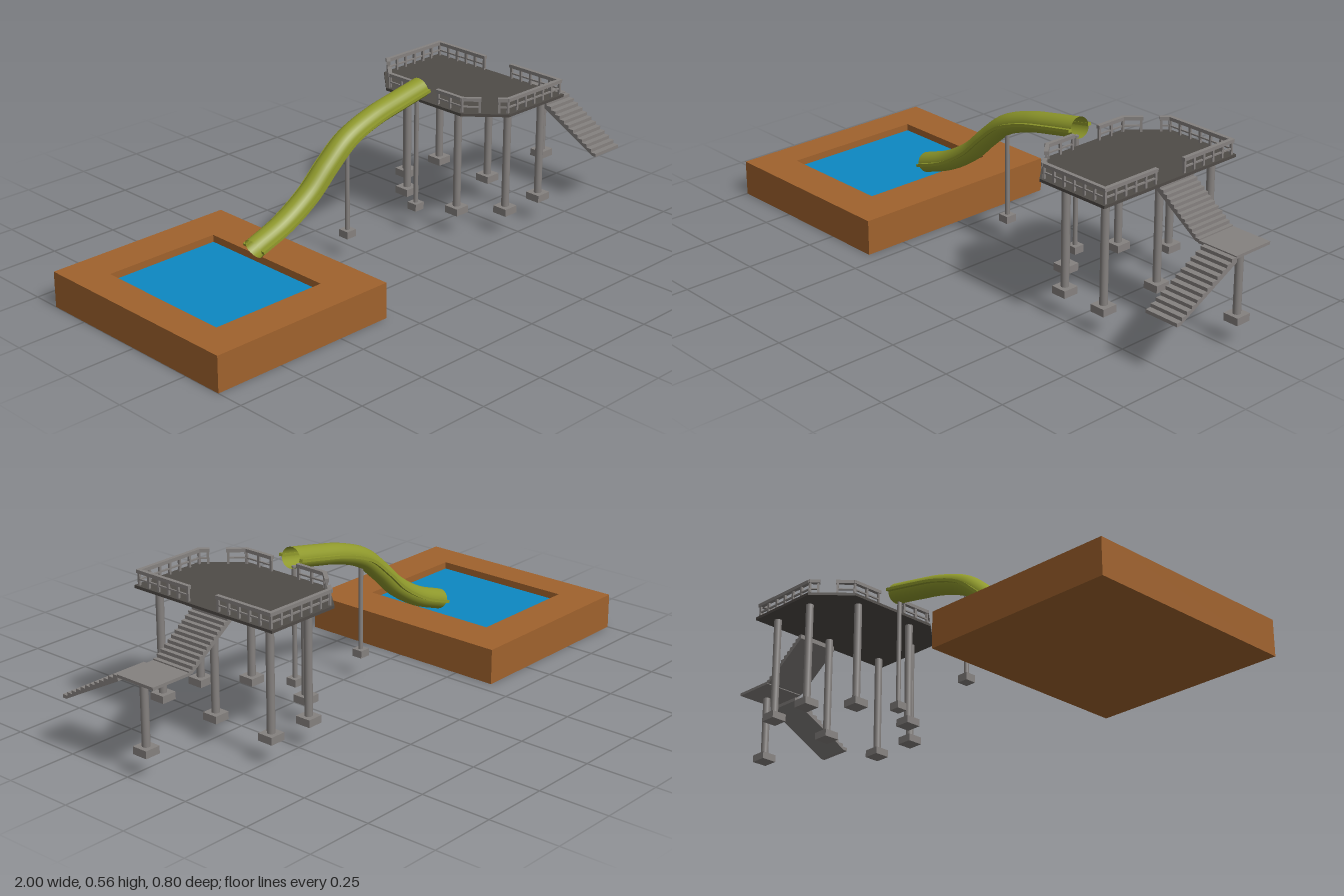
import * as THREE from 'three';

const mat = (name, color) => {
  const m = new THREE.MeshStandardMaterial({ color });
  m.name = name;
  return m;
};

export function createModel() {
  const model = new THREE.Group();
  model.name = 'waterSlide';
  const grey = mat('greyMetal', 0x85817f);
  const dark = mat('darkDecking', 0x4f4b47);
  const brown = mat('brownPool', 0xa0622d);
  const blue = mat('blueWater', 0x0d88c2);
  const olive = mat('oliveSlide', 0x909a2c);
  olive.side = THREE.DoubleSide;

  const CZ = -0.02; // centre line of slide and deck

  const add = (parent, name, geo, material, x = 0, y = 0, z = 0) => {
    const m = new THREE.Mesh(geo, material);
    m.name = name;
    m.position.set(x, y, z);
    parent.add(m);
    return m;
  };
  const box = (parent, name, material, w, h, d, x, y, z) =>
    add(parent, name, new THREE.BoxGeometry(w, h, d), material, x, y, z);
  const group = (name) => {
    const g = new THREE.Group();
    g.name = name;
    model.add(g);
    return g;
  };
  const polygon = (pts) => new THREE.Shape(pts.map(([x, y]) => new THREE.Vector2(x, y)));
  const extrude = (shape, depth) =>
    new THREE.ExtrudeGeometry(shape, { depth, bevelEnabled: false });

  // Pool: rim with a rectangular opening, floor and water
  const pool = group('pool');
  const rim = polygon([[-1, -0.4], [-0.3, -0.4], [-0.3, 0.4], [-1, 0.4]]);
  rim.holes.push(polygon([[-0.883, -0.26], [-0.883, 0.26], [-0.453, 0.26], [-0.453, -0.26]]));
  add(pool, 'poolRim', extrude(rim, 0.125).rotateX(-Math.PI / 2), brown);
  box(pool, 'poolFloor', brown, 0.43, 0.02, 0.52, -0.668, 0.01, 0);
  box(pool, 'water', blue, 0.43, 0.08, 0.52, -0.668, 0.06, 0);

  // Slide: oval tube with a seam flange along each side
  const slide = group('slide');
  slide.position.z = CZ;
  const path = new THREE.CatmullRomCurve3([
    [0.28, 0.521], [0.16, 0.498], [0.05, 0.474], [-0.07, 0.428], [-0.16, 0.357],
    [-0.245, 0.28], [-0.36, 0.21], [-0.485, 0.163],
  ].map(([x, y]) => new THREE.Vector3(x, y, 0)));
  const tube = add(slide, 'slideTube', new THREE.TubeGeometry(path, 48, 0.0355, 24), olive);
  tube.scale.z = 1.1;
  const upper = [], lower = [];
  for (let i = 0; i <= 40; i++) {
    const p = path.getPointAt(i / 40), t = path.getTangentAt(i / 40);
    upper.push([p.x + t.y * 0.005, p.y - t.x * 0.005]);
    lower.unshift([p.x - t.y * 0.005, p.y + t.x * 0.005]);
  }
  for (const z of [-0.051, 0.037]) {
    add(slide, 'slideFlange', extrude(polygon([...upper, ...lower]), 0.014), olive, 0, 0, z);
  }

  // Support posts on square footings
  const supports = group('supports');
  const post = (x, z, top, r, foot) => {
    add(supports, 'post', new THREE.CylinderGeometry(r, r, top - 0.09, 16), grey, x, (top + 0.09) / 2, z);
    box(supports, 'footing', grey, foot, 0.026, foot, x, 0.088, z);
  };
  for (const [x, dz] of [[0.345, 0.12], [0.463, 0.239], [0.635, 0.239]]) {
    for (const s of [-1, 1]) post(x, CZ + s * dz, 0.46, 0.0135, 0.057);
  }
  post(0.635, CZ, 0.46, 0.0135, 0.057);
  post(0.955, -0.04, 0.325, 0.0135, 0.057);
  post(-0.065, CZ, 0.4, 0.008, 0.04);
  post(0.265, CZ, 0.49, 0.008, 0.04);

  // Deck with two clipped corners: grey frame below dark boards
  const outline = polygon([
    [0.295, -0.157], [0.405, -0.277], [0.687, -0.277],
    [0.687, 0.317], [0.405, 0.317], [0.295, 0.197],
  ]);
  const deck = group('deck');
  add(deck, 'deckBoards', extrude(outline, 0.01).rotateX(-Math.PI / 2), dark, 0, 0.459, 0);

  // Railings, mirrored about the deck centre line
  const railings = group('railings');
  railings.position.z = CZ;
  const railing = (pts) => {
    for (let i = 0; i < pts.length - 1; i++) {
      const [x0, z0] = pts[i], [x1, z1] = pts[i + 1];
      const len = Math.hypot(x1 - x0, z1 - z0);
      const g = new THREE.Group();
      g.name = 'railSection';
      g.position.set((x0 + x1) / 2, 0, (z0 + z1) / 2);
      g.rotation.y = -Math.atan2(z1 - z0, x1 - x0);
      railings.add(g);
      box(g, 'topRail', grey, len + 0.012, 0.012, 0.014, 0, 0.516, 0);
      box(g, 'midRail', grey, len, 0.005, 0.006, 0, 0.489, 0);
      const n = Math.max(1, Math.round(len / 0.045));
      for (let k = 0; k <= n; k++) {
        box(g, 'baluster', grey, 0.008, 0.043, 0.008, (k / n - 0.5) * len, 0.49, 0);
      }
    }
  };
  for (const s of [-1, 1]) {
    railing([[0.308, s * 0.06], [0.308, s * 0.17], [0.348, s * 0.214]]);
    railing([[0.392, s * 0.263], [0.412, s * 0.284], [0.677, s * 0.284], [0.677, s * 0.065]]);
  }

  // Stairs: stepped top, straight sloping underside
  const stairs = group('stairs');
  const flight = (name, steps, run, drop, width) => {
    const pts = [];
    for (let i = 0; i < steps; i++) {
      pts.push([(i / steps) * run, (-i / steps) * drop], [((i + 1) / steps) * run, (-i / steps) * drop]);
    }
    pts.push([run, -drop], [run - 0.015, -drop], [0, -drop / steps - 0.006]);
    return add(stairs, name, extrude(polygon(pts), width), grey);
  };
  flight('upperFlight', 12, 0.185, 0.135, 0.155).position.set(0.665, 0.46, -0.127);
  const low = flight('lowerFlight', 12, 0.257, 0.145, 0.128);
  low.rotation.y = -Math.PI / 2;
  low.position.set(1, 0.328, 0.025);
  box(stairs, 'landing', grey, 0.155, 0.01, 0.155, 0.9225, 0.327, -0.0495);

  return model;
}
